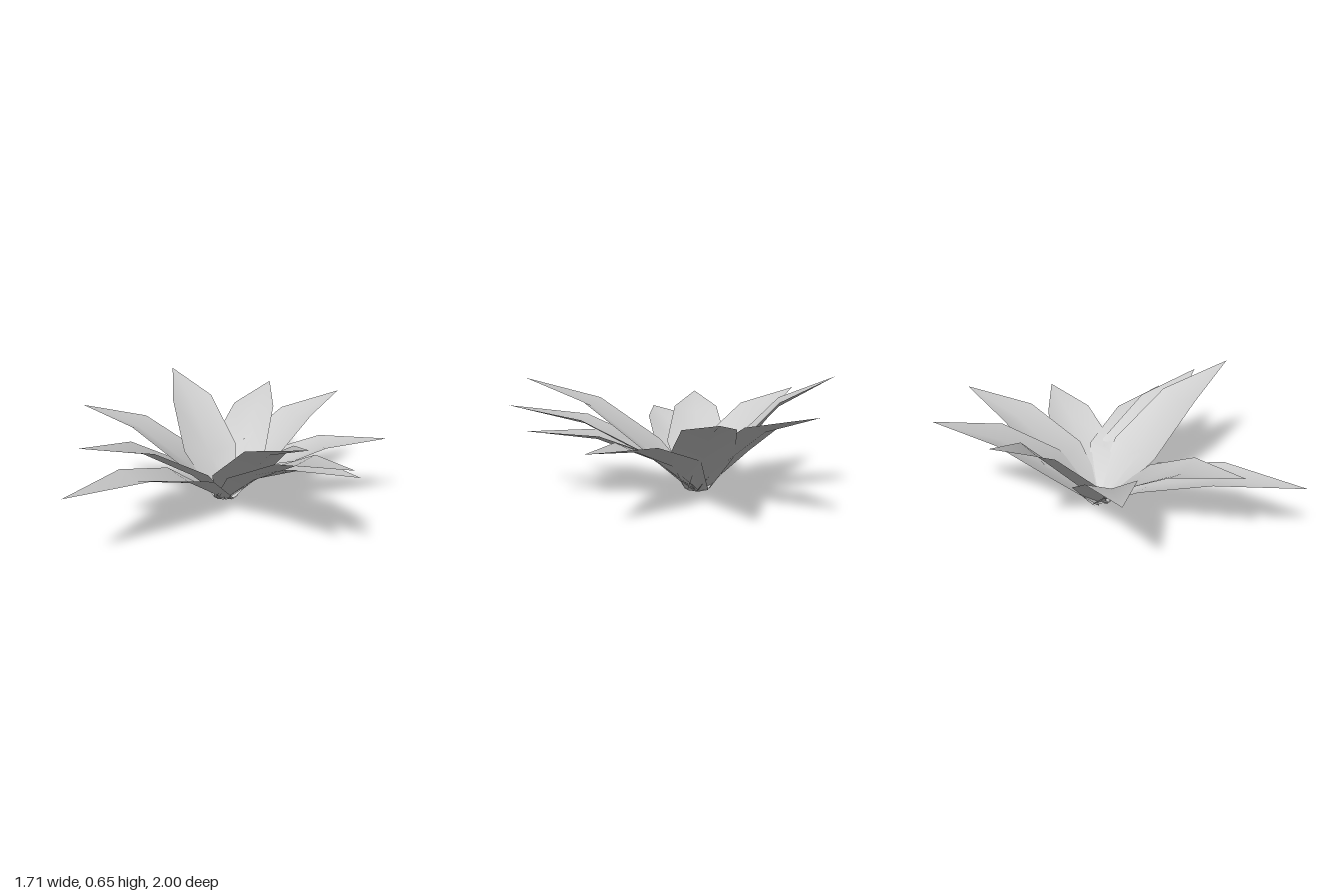
import * as THREE from 'three';

const BASE = new THREE.Vector3(-0.03, 0, -0.1);

// Leaf tips: x, height, z
const TIPS = [
  [-0.11, 0.52, -1.0], [0.385, 0.515, -0.94], [0.805, 0.365, -0.51], [0.83, 0.37, 0.205],
  [0.855, 0.485, 0.43], [0.695, 0.615, 0.62], [-0.345, 0.35, 0.995], [-0.48, 0.475, 0.665],
  [-0.855, 0.527, 0.1], [-0.61, 0.65, -0.545],
];

// One arching leaf: cross-sections of left edge, midrib and right edge, ending in a point
function leafGeometry([tx, ty, tz]) {
  const dx = tx - BASE.x, dz = tz - BASE.z;
  const len = Math.hypot(dx, dz);
  const sx = -dz / len, sz = dx / len; // sideways direction
  // distance along the leaf, half width, edge height, depth of the midrib fold
  const stations = [
    [0, 0.07, 0.02, 0.02],
    [0.26, 0.172, 0.25 + (ty - 0.5) * 0.1, 0.05],
    [0.6, 0.13, 0.34 + (ty - 0.35) * 0.6, 0.035],
  ];
  const pos = [], index = [];
  for (const [t, w, y, fold] of stations) {
    for (const s of [-1, 0, 1]) {
      pos.push(BASE.x + dx * t + sx * w * s, s ? y : y - fold, BASE.z + dz * t + sz * w * s);
    }
  }
  pos.push(tx, ty, tz);
  for (let r = 0; r < 2; r++) {
    for (let c = 0; c < 2; c++) {
      const a = r * 3 + c;
      index.push(a, a + 1, a + 3, a + 1, a + 4, a + 3);
    }
  }
  index.push(6, 7, 9, 7, 8, 9);
  // make the upper side the front
  for (let i = 0; i < index.length; i += 3) [index[i + 1], index[i + 2]] = [index[i + 2], index[i + 1]];
  const g = new THREE.BufferGeometry();
  g.setAttribute('position', new THREE.Float32BufferAttribute(pos, 3));
  g.setIndex(index);
  g.computeVertexNormals();
  return g;
}

export function createModel() {
  const group = new THREE.Group();
  group.name = 'leafRosette';
  const leafGrey = new THREE.MeshStandardMaterial({ color: 0xcccccc, side: THREE.DoubleSide });
  leafGrey.name = 'leafGrey';
  TIPS.forEach((tip, i) => {
    const leaf = new THREE.Mesh(leafGeometry(tip), leafGrey);
    leaf.name = `leaf${i + 1}`;
    group.add(leaf);
  });
  return group;
}
